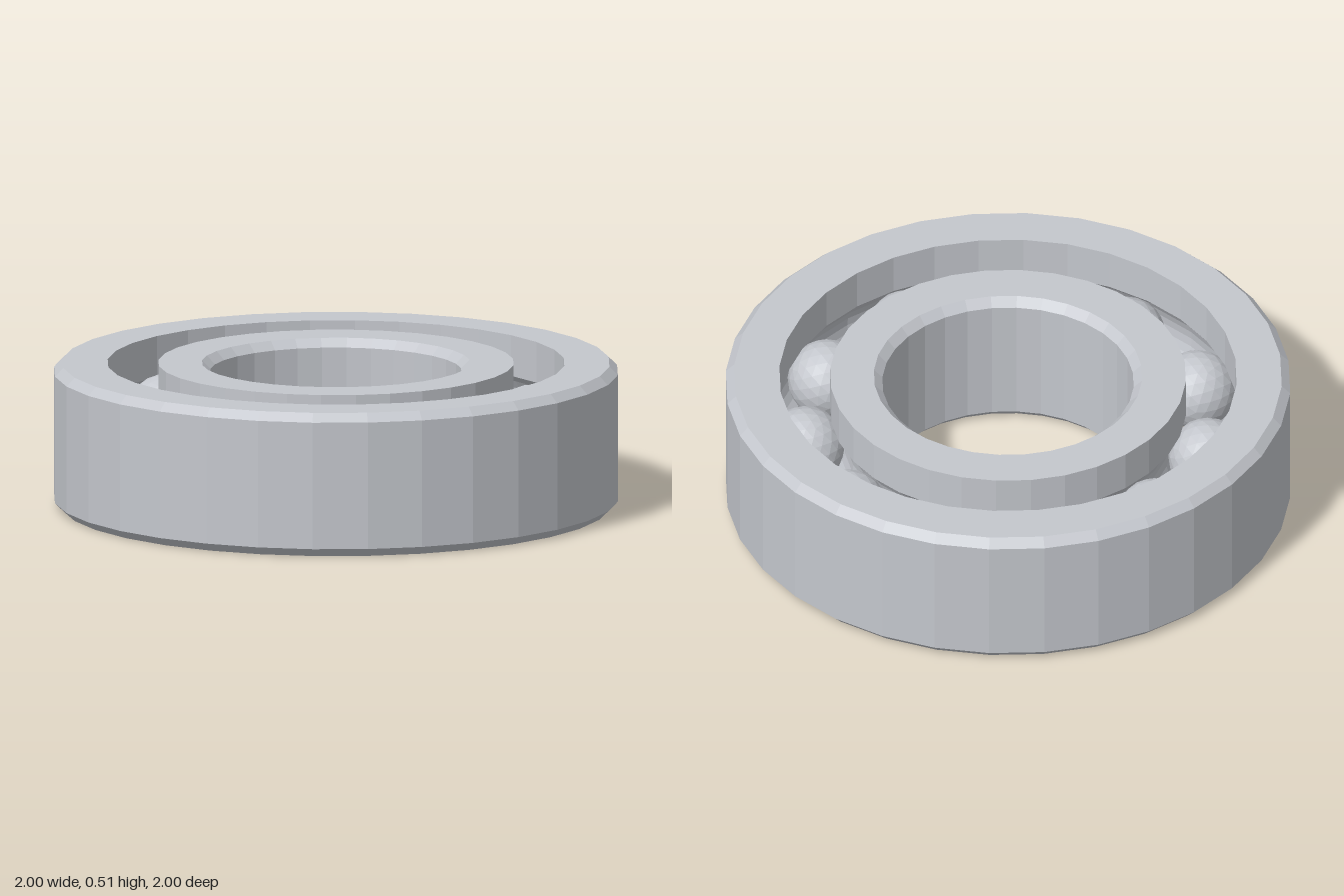
import * as THREE from 'three';

const HEIGHT = 0.515, MID = HEIGHT / 2, CHAMFER = 0.03;
const PITCH = 0.72, BALL_R = 0.14, GROOVE_R = 0.143, BALLS = 11;

// Separate every face so that each facet is shaded flat
function faceted(geometry) {
  const g = geometry.index ? geometry.toNonIndexed() : geometry;
  g.computeVertexNormals();
  return g;
}

// Raceway arc around the ball centre, between two angles
function groove(from, to, steps = 8) {
  return Array.from({ length: steps + 1 }, (_, i) => {
    const a = from + (to - from) * i / steps;
    return [PITCH + GROOVE_R * Math.cos(a), MID + GROOVE_R * Math.sin(a)];
  });
}

function ring(name, profile, material) {
  const points = [...profile, profile[0]].map(([r, y]) => new THREE.Vector2(r, y));
  const mesh = new THREE.Mesh(faceted(new THREE.LatheGeometry(points, 32)), material);
  mesh.name = name;
  return mesh;
}

export function createModel() {
  const model = new THREE.Group();
  model.name = 'ballBearing';
  const steel = new THREE.MeshStandardMaterial({ color: 0xc4c7cd });
  steel.name = 'steel';

  // Outer ring: chamfered outside, grooved inside
  const a = Math.acos((0.81 - PITCH) / GROOVE_R);
  model.add(ring('outerRing', [
    [1 - CHAMFER, 0], [1, CHAMFER], [1, HEIGHT - CHAMFER], [1 - CHAMFER, HEIGHT],
    [0.81, HEIGHT], ...groove(a, -a), [0.81, 0],
  ], steel));

  // Inner ring: grooved outside, chamfered bore
  const b = Math.acos((0.63 - PITCH) / GROOVE_R);
  model.add(ring('innerRing', [
    [0.475, 0], [0.63, 0], ...groove(2 * Math.PI - b, b), [0.63, HEIGHT],
    [0.475, HEIGHT], [0.445, HEIGHT - CHAMFER], [0.445, CHAMFER],
  ], steel));

  // Balls spaced evenly in the raceway
  const balls = new THREE.Group();
  balls.name = 'balls';
  const ballGeometry = faceted(new THREE.IcosahedronGeometry(BALL_R, 3));
  for (let i = 0; i < BALLS; i++) {
    const t = i / BALLS * Math.PI * 2;
    const ball = new THREE.Mesh(ballGeometry, steel);
    ball.name = 'ball';
    ball.position.set(PITCH * Math.cos(t), MID, PITCH * Math.sin(t));
    balls.add(ball);
  }
  model.add(balls);
  return model;
}
